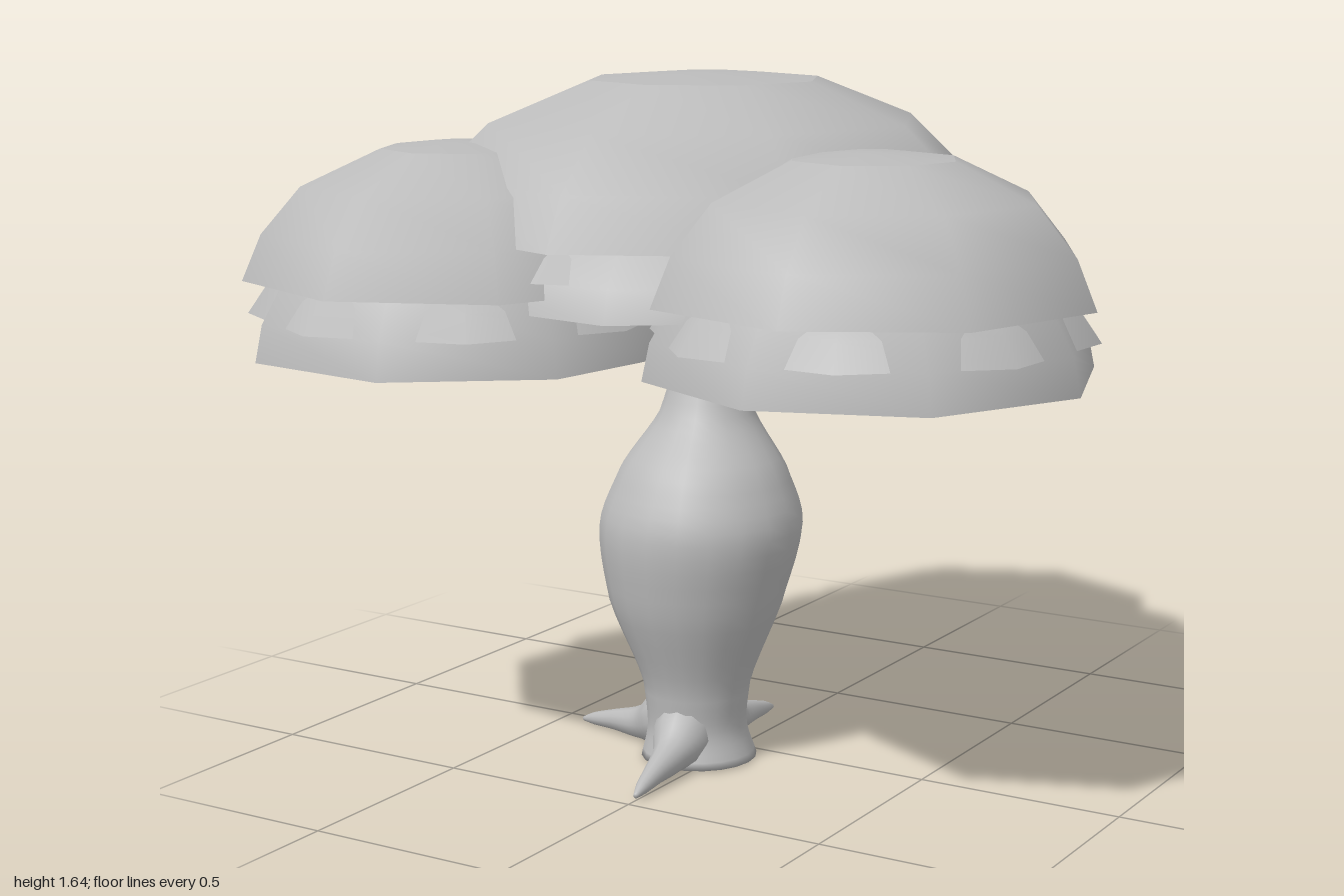
import * as THREE from 'three';

const bark = new THREE.MeshStandardMaterial({ color: 0xbbbbbb, side: THREE.DoubleSide });
bark.name = 'plain grey';

function part(name, geometry) {
  const mesh = new THREE.Mesh(geometry, bark);
  mesh.name = name;
  return mesh;
}

// Smooth tapered limb along a path; each stop is [x, y, z, radius].
// Level limbs keep horizontal rings; others have rings across the path.
function limb(stops, level = false, steps = 24, sides = 16) {
  const path = new THREE.CatmullRomCurve3(stops.map(s => new THREE.Vector3(s[0], s[1], s[2])));
  const radii = new THREE.CatmullRomCurve3(stops.map(s => new THREE.Vector3(s[3], 0, 0)));
  const up = new THREE.Vector3(0, 1, 0);
  const pos = [], index = [];
  for (let i = 0; i <= steps; i++) {
    const t = i / steps, c = path.getPoint(t), r = radii.getPoint(t).x;
    const dir = path.getTangent(t);
    const a = level ? new THREE.Vector3(0, 0, 1) : new THREE.Vector3().crossVectors(dir, up).normalize();
    const b = level ? new THREE.Vector3(1, 0, 0) : new THREE.Vector3().crossVectors(a, dir).normalize();
    for (let j = 0; j < sides; j++) {
      const q = j / sides * Math.PI * 2;
      const p = c.clone().addScaledVector(a, Math.cos(q) * r).addScaledVector(b, Math.sin(q) * r);
      pos.push(p.x, Math.max(p.y, 0.005), p.z);
      if (i === steps) continue;
      const k = i * sides + j, n = i * sides + (j + 1) % sides;
      index.push(k, n, k + sides, n, n + sides, k + sides);
    }
  }
  // close both ends
  for (const [ring, flip] of [[0, true], [steps, false]]) {
    const c = path.getPoint(ring / steps), m = pos.length / 3;
    pos.push(c.x, c.y, c.z);
    for (let j = 0; j < sides; j++) {
      const k = ring * sides + j, n = ring * sides + (j + 1) % sides;
      if (flip) index.push(m, n, k); else index.push(m, k, n);
    }
  }
  const g = new THREE.BufferGeometry();
  g.setAttribute('position', new THREE.Float32BufferAttribute(pos, 3));
  g.setIndex(index);
  g.computeVertexNormals();
  return g;
}

function shell(points, turn) {
  return new THREE.LatheGeometry(points.map(p => new THREE.Vector2(p[0], p[1])), 8, turn);
}

// Foliage clump: eight-sided dome with a shallow lid, two crossing skirts
// and a nearly flat underside
function canopy({ name, x, z, y, r, h, lid, drop, turn, skirtTurn }) {
  const group = new THREE.Group();
  group.name = name;
  group.position.set(x, y, z);
  group.add(part('dome', shell(
    [[r, 0], [r * 0.91, h * 0.36], [r * 0.73, h * 0.72], [lid, h]], turn)));
  group.add(part('lid', shell([[lid, h], [lid * 0.4, h + 0.013], [0, h + 0.015]], turn)));
  group.add(part('upperSkirt', shell(
    [[r * 0.98, -drop], [r * 0.9, -drop * 0.3], [r * 0.83, drop * 0.1]], skirtTurn + Math.PI / 8)));
  group.add(part('lowerSkirt', shell(
    [[r, -2 * drop], [r * 0.965, -drop], [r * 0.87, 0]], skirtTurn)));
  group.add(part('underside', shell(
    [[0, 0.04], [r * 0.5, 0.03], [r * 0.87, 0]], skirtTurn)));
  return group;
}

export function createModel() {
  const model = new THREE.Group();
  model.name = 'tree';

  // Swollen trunk
  model.add(part('trunk', limb([
    [-0.05, 0.015, 0.11, 0.14], [-0.055, 0.1, 0.11, 0.12], [-0.055, 0.2, 0.11, 0.13],
    [-0.065, 0.4, 0.095, 0.21], [-0.06, 0.58, 0.08, 0.245], [-0.06, 0.72, 0.07, 0.2],
    [-0.065, 0.85, 0.045, 0.115], [-0.07, 1.0, 0.025, 0.076], [-0.07, 1.09, 0.02, 0.07],
  ], true, 40, 20)));

  // Short forks at the trunk top
  for (const [x, z] of [[0.02, 0.06], [-0.15, 0.06], [-0.08, -0.07]])
    model.add(part('fork', limb([
      [-0.07, 1.03, 0.02, 0.055], [(x - 0.07) / 2, 1.09, (z + 0.02) / 2, 0.045], [x, 1.14, z, 0.03],
    ], false, 8, 10)));

  // Three spreading roots
  for (const [x, z] of [[-0.43, 0.045], [0, 0.47], [-0.075, -0.285]]) {
    const at = (t, y, r) => [-0.055 + (x + 0.055) * t, y, 0.11 + (z - 0.11) * t, r];
    model.add(part('root', limb([
      at(0.1, 0.13, 0.075), at(0.28, 0.08, 0.07), at(0.46, 0.056, 0.043),
      at(0.7, 0.043, 0.027), at(0.9, 0.03, 0.016), at(1, 0.022, 0.006),
    ], false, 20, 12)));
  }

  // One large clump over three smaller ones
  const small = { y: 1.195, r: 0.512, h: 0.295, lid: 0.19, drop: 0.085 };
  model.add(
    canopy({ name: 'mainCanopy', x: -0.085, z: 0.02, y: 1.305, r: 0.71, h: 0.335, lid: 0.28, drop: 0.073, turn: 0.05, skirtTurn: 0.24 }),
    canopy({ ...small, name: 'rightCanopy', x: 0.495, z: 0.265, h: 0.305, turn: 0.1, skirtTurn: -0.06 }),
    canopy({ ...small, name: 'leftCanopy', x: -0.5, z: 0.415, turn: 0, skirtTurn: 0.25 }),
    canopy({ ...small, name: 'backCanopy', x: -0.155, z: -0.415, turn: 0, skirtTurn: 0.24 }),
  );
  return model;
}
